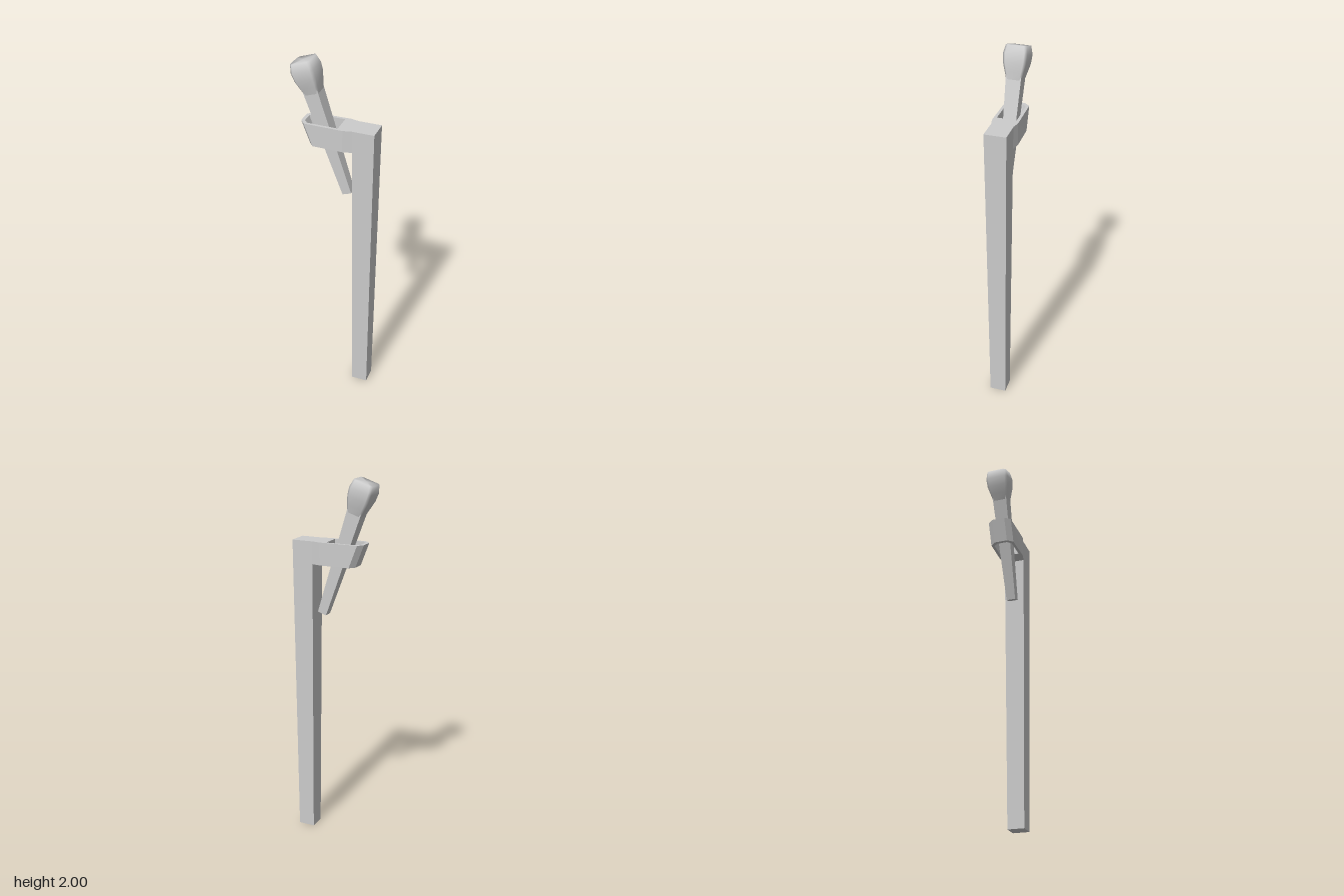
import * as THREE from 'three';

const material = new THREE.MeshStandardMaterial({ color: 0xcccccc });
const flatMaterial = new THREE.MeshStandardMaterial({ color: 0xcccccc, flatShading: true });

function addMesh(parent, name, geometry, mat) {
  const mesh = new THREE.Mesh(geometry, mat);
  mesh.name = name;
  parent.add(mesh);
  return mesh;
}

// Square bar from y = 0 to height, with different half-widths at its ends
function taperedBar(height, bottom, top) {
  const g = new THREE.BoxGeometry(2, height, 2).translate(0, height / 2, 0);
  const p = g.attributes.position;
  for (let i = 0; i < p.count; i++) {
    const h = p.getY(i) > height / 2 ? top : bottom;
    p.setX(i, p.getX(i) * h);
    p.setZ(i, p.getZ(i) * h);
  }
  g.computeVertexNormals();
  return g;
}

// Smooth loft through chamfered squares given as [height, half-width], closed on top
function chamferedLoft(sections) {
  const c = 0.78;
  const ring = [[1, c], [c, 1], [-c, 1], [-1, c], [-1, -c], [-c, -1], [c, -1], [1, -c]];
  const pos = [], idx = [], n = ring.length;
  for (const [y, h] of sections) for (const [x, z] of ring) pos.push(x * h, y, z * h);
  for (let s = 0; s < sections.length - 1; s++) {
    for (let i = 0; i < n; i++) {
      const a = s * n + i, b = s * n + (i + 1) % n;
      idx.push(a, a + n, b, b, a + n, b + n);
    }
  }
  const last = (sections.length - 1) * n, centre = pos.length / 3;
  pos.push(0, sections[sections.length - 1][0], 0);
  for (let i = 0; i < n; i++) idx.push(last + i, centre, last + (i + 1) % n);
  const g = new THREE.BufferGeometry();
  g.setAttribute('position', new THREE.Float32BufferAttribute(pos, 3));
  g.setIndex(idx);
  g.computeVertexNormals();
  return g;
}

// Closed outline mirrored across the long axis
function mirrored(half) {
  const pts = half.concat(half.map(([x, y]) => [x, -y]).reverse());
  return pts.map(([x, y]) => new THREE.Vector2(x, y));
}

// Holder ring whose far end leans outward toward the top
function holderRing() {
  const depth = 0.12;
  const shape = new THREE.Shape(mirrored([[0.108, 0.056], [0.058, 0.068], [-0.15, 0.065], [-0.175, 0.035]]));
  shape.holes.push(new THREE.Path(mirrored([[0.028, 0.052], [-0.138, 0.05], [-0.157, 0.028]])));
  const g = new THREE.ExtrudeGeometry(shape, { depth, bevelEnabled: false }).rotateX(-Math.PI / 2);
  const p = g.attributes.position;
  for (let i = 0; i < p.count; i++) {
    if (p.getX(i) < 0) p.setX(i, p.getX(i) + 0.046 * (1 - p.getY(i) / depth));
  }
  g.computeVertexNormals();
  return g;
}

export function createModel() {
  const model = new THREE.Group();
  model.name = 'torchStand';
  model.rotation.y = -0.478;

  // Upright post, wider at the top
  addMesh(model, 'post', taperedBar(1.67, 0.045, 0.058), flatMaterial).position.x = 0.163;

  // Ring on the post that carries the torch
  addMesh(model, 'holderRing', holderRing(), flatMaterial).position.y = 1.55;

  // Leaning torch: tapered handle and bulging head
  const torch = new THREE.Group();
  torch.name = 'torch';
  torch.position.set(0.068, 1.28, 0);
  torch.rotation.z = 0.329;
  addMesh(torch, 'handle', taperedBar(0.59, 0.025, 0.04), flatMaterial);
  addMesh(torch, 'head', chamferedLoft([
    [0.57, 0.039], [0.61, 0.049], [0.655, 0.06], [0.7, 0.063], [0.743, 0.054],
  ]), material);
  model.add(torch);

  const group = new THREE.Group();
  group.add(model);
  return group;
}
